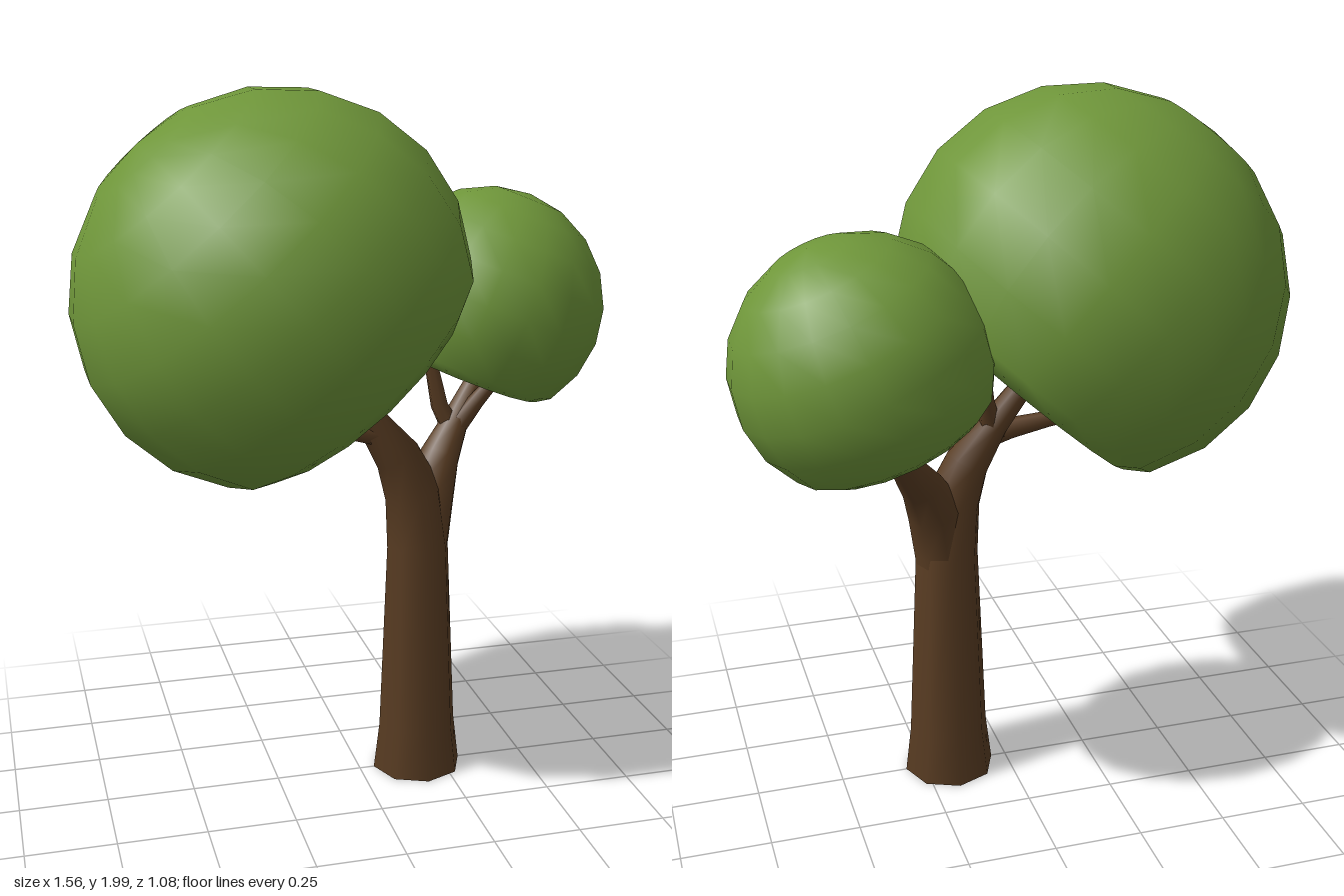
import * as THREE from 'three';
import { mergeVertices } from 'three/addons/utils/BufferGeometryUtils.js';

// Bark is double sided because the trunk is open at the bottom
const bark = new THREE.MeshStandardMaterial({ color: 0x5a3d23, side: THREE.DoubleSide });
bark.name = 'bark brown';
const leaf = new THREE.MeshStandardMaterial({ color: 0x6f963a });
leaf.name = 'leaf green';

// Tapered limb through stations [x, y, z, radius], closed at the tip
function limb(name, stations, sides = 8) {
  const group = new THREE.Group();
  group.name = name;
  const curve = new THREE.CatmullRomCurve3(stations.map(s => new THREE.Vector3(s[0], s[1], s[2])));
  curve.getUtoTmapping = u => u; // one ring per station
  const last = stations.length - 1;
  const geo = new THREE.TubeGeometry(curve, last, 1, sides);
  const pos = geo.attributes.position, nor = geo.attributes.normal;
  const p = new THREE.Vector3();
  for (let i = 0; i < pos.count; i++) {
    const ring = Math.floor(i / (sides + 1));
    p.fromBufferAttribute(nor, i).multiplyScalar(stations[ring][3]).add(curve.points[ring]);
    pos.setXYZ(i, p.x, p.y, p.z);
  }
  const wood = new THREE.Mesh(geo, bark);
  wood.name = name + ' wood';
  group.add(wood);

  // The tip reuses the last ring so that it meets the tube exactly
  const pts = [curve.points[last]];
  for (let j = 0; j <= sides; j++) {
    pts.push(new THREE.Vector3().fromBufferAttribute(pos, last * (sides + 1) + j));
  }
  const out = curve.getTangent(1);
  const turn = pts[1].clone().sub(pts[0]).cross(pts[2].clone().sub(pts[0])).dot(out) > 0;
  const index = [];
  for (let j = 1; j <= sides; j++) index.push(0, turn ? j : j + 1, turn ? j + 1 : j);
  const tipGeo = new THREE.BufferGeometry().setFromPoints(pts);
  tipGeo.setIndex(index);
  tipGeo.computeVertexNormals();
  const tip = new THREE.Mesh(tipGeo, bark);
  tip.name = name + ' tip';
  group.add(tip);
  return group;
}

// Ball of leaves whose underside, facing "hollow", is pushed in as a bowl
function crown(name, center, radius, hollow, squash) {
  const cut = 0.635, rim = 0.72, floor = 0.26; // bowl proportions for radius 1
  const edge = THREE.MathUtils.degToRad(56);   // where the ball turns over to the rim
  const profile = [];
  for (let i = 0; i <= 4; i++) {
    const s = i / 4;
    profile.push(new THREE.Vector2(rim * s, -(floor + (cut - floor) * s * s)));
  }
  for (let i = 0; i <= 7; i++) {
    const a = edge + (Math.PI - edge) * i / 7;
    profile.push(new THREE.Vector2(Math.max(0, Math.sin(a)), -Math.cos(a)));
  }
  let geo = new THREE.LatheGeometry(profile, 18);
  geo.deleteAttribute('uv');
  geo.deleteAttribute('normal');
  geo.scale(radius * squash[0], radius * squash[1], radius);
  geo = mergeVertices(geo, 1e-4);
  geo.computeVertexNormals();

  const mesh = new THREE.Mesh(geo, leaf);
  mesh.name = name;
  const up = new THREE.Vector3(...hollow).normalize().negate();
  mesh.quaternion.setFromUnitVectors(new THREE.Vector3(0, 1, 0), up);
  mesh.position.set(...center);
  return mesh;
}

export function createModel() {
  const tree = new THREE.Group();
  tree.name = 'tree';

  // Trunk, running on into the limb under the large crown
  tree.add(limb('trunk', [
    [0.175, 0, 0, 0.132], [0.175, 0.14, 0, 0.115], [0.172, 0.7, 0, 0.091],
    [0.155, 0.86, 0.002, 0.083], [0.108, 0.97, 0.005, 0.066],
    [0.03, 1.08, 0, 0.043], [-0.11, 1.26, -0.01, 0.027]]));
  // Second limb, under the small crown
  tree.add(limb('rightLimb', [
    [0.178, 0.58, 0, 0.07], [0.19, 0.72, -0.005, 0.078], [0.212, 0.85, -0.025, 0.078],
    [0.255, 0.94, -0.06, 0.06], [0.315, 1.03, -0.105, 0.041], [0.44, 1.21, -0.18, 0.022]]));

  // Side branches
  tree.add(limb('lowBranch', [
    [0.06, 1.04, 0.01, 0.038], [-0.02, 1.055, 0.012, 0.03],
    [-0.13, 1.07, 0.012, 0.023], [-0.26, 1.085, 0.01, 0.017]], 6));
  tree.add(limb('uprightBranch', [
    [0.035, 1.04, 0, 0.035], [0.062, 1.16, -0.02, 0.026], [0.085, 1.37, -0.045, 0.019]], 6));
  tree.add(limb('innerTwig', [
    [0.305, 1.0, -0.095, 0.032], [0.265, 1.08, -0.105, 0.026], [0.235, 1.24, -0.12, 0.018]], 6));
  tree.add(limb('frontTwig', [
    [0.3, 1.0, -0.09, 0.032], [0.37, 1.09, -0.085, 0.024], [0.46, 1.2, -0.07, 0.017]], 6));

  // Leaves
  tree.add(crown('largeCrown', [-0.245, 1.46, 0], 0.542, [0.66, -0.75, 0], [1.025, 0.975]));
  tree.add(crown('smallCrown', [0.437, 1.355, -0.205], 0.338, [-0.38, -0.925, 0], [1.02, 1]));
  return tree;
}
